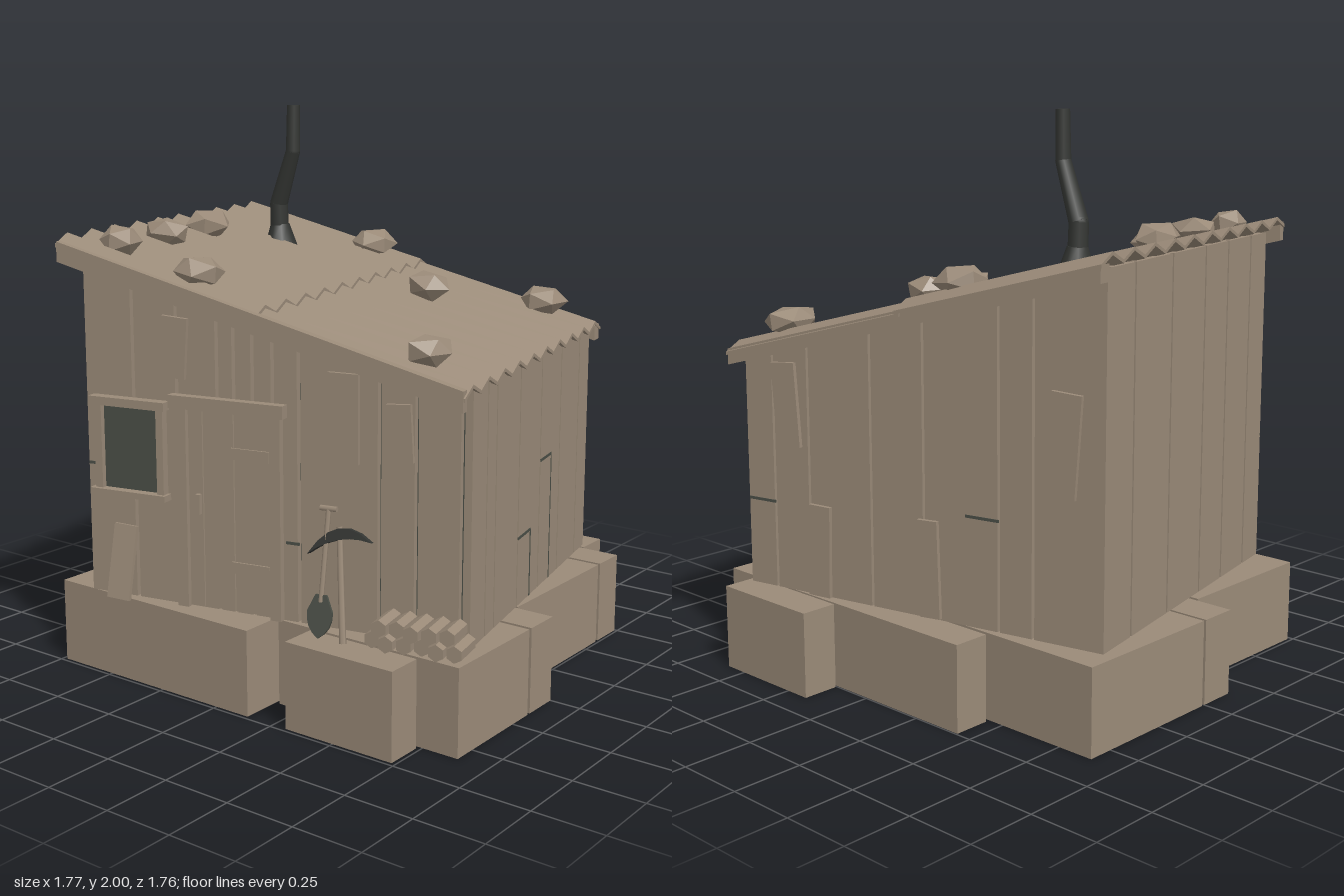
import * as THREE from 'three';

export function createModel() {
  const mat = (name, color) => {
    const m = new THREE.MeshStandardMaterial({ color });
    m.name = name;
    return m;
  };
  const wood = mat('weathered wood', 0x9a8a78);
  const dark = mat('dark glass and steel', 0x4a4e46);
  const soot = mat('sooty iron', 0x343633);
  const stone = wood.clone();
  stone.name = 'stone';
  stone.flatShading = true;

  const model = new THREE.Group();
  model.name = 'shack';
  const house = new THREE.Group(); // turned a little on its foundation
  house.name = 'house';
  const TURN = 0.21, BASE = 0.305;
  house.rotation.y = TURN;
  model.add(house);

  const roofY = x => 1.37 - 0.262 * x;
  const add = (parent, name, geo, material, x = 0, y = 0, z = 0) => {
    const m = new THREE.Mesh(geo, material);
    m.name = name;
    m.position.set(x, y, z);
    parent.add(m);
    return m;
  };
  // box given by its limits
  const block = (parent, name, material, x0, x1, y0, y1, z0, z1) =>
    add(parent, name, new THREE.BoxGeometry(x1 - x0, y1 - y0, z1 - z0), material,
      (x0 + x1) / 2, (y0 + y1) / 2, (z0 + z1) / 2);
  // board whose top and bottom may follow the roof slope
  const slopedBoard = (name, material, x0, x1, bottom, top, z0, z1) => {
    const s = new THREE.Shape([
      new THREE.Vector2(x0, bottom(x0)), new THREE.Vector2(x1, bottom(x1)),
      new THREE.Vector2(x1, top(x1)), new THREE.Vector2(x0, top(x0))]);
    return add(house, name, new THREE.ExtrudeGeometry(s, { depth: z1 - z0, bevelEnabled: false }), material, 0, 0, z0);
  };
  // round bar between two points
  const bar = (parent, name, material, a, b, r0, r1, sides = 6) => {
    const p = new THREE.Vector3(...a), q = new THREE.Vector3(...b);
    const d = q.clone().sub(p);
    const m = add(parent, name, new THREE.CylinderGeometry(r1, r0, d.length(), sides), material);
    m.position.copy(p).addScaledVector(d, 0.5);
    m.quaternion.setFromUnitVectors(new THREE.Vector3(0, 1, 0), d.normalize());
    return m;
  };

  // foundation blocks: x0, x1, z0, z1
  [[0.155, 0.59, -0.89, -0.755], [-0.44, 0.74, -0.745, -0.61], [-0.885, 0.74, -0.595, -0.012],
    [-0.885, 0.885, 0, 0.14], [-0.735, 0.14, 0.155, 0.735], [0.155, 0.885, 0.155, 0.585],
    [0.305, 0.735, 0.6, 0.735]].forEach(([x0, x1, z0, z1]) =>
    block(model, 'foundationBlock', wood, x0, x1, 0, BASE, z0, z1));

  // dark core seen through the gaps between planks
  const wallTop = x => roofY(x) - 0.02;
  const floor = () => BASE;
  slopedBoard('wallCore', dark, -0.695, 0.695, floor, x => wallTop(x) - 0.005, -0.625, 0.575);

  // front and back planks
  const planks = (cuts, gap, build) => {
    for (let i = 0; i < cuts.length - 1; i++) {
      const a = cuts[i] + (i ? gap / 2 : 0);
      const b = cuts[i + 1] - (i < cuts.length - 2 ? gap / 2 : 0);
      build(a, b);
    }
  };
  planks([-0.72, -0.528, -0.355, -0.198, -0.134, -0.063, 0.012, 0.109, 0.4, 0.53, 0.687, 0.72], 0.013,
    (a, b) => slopedBoard('frontPlank', wood, a, b, floor, wallTop, 0.575, 0.6));
  planks([-0.72, -0.46, -0.33, -0.036, 0.18, 0.446, 0.6, 0.72], 0.01,
    (a, b) => slopedBoard('backPlank', wood, a, b, floor, wallTop, -0.65, -0.625));
  // side planks
  planks([-0.625, -0.46, -0.19, 0.07, 0.26, 0.46, 0.575], 0.01,
    (a, b) => block(house, 'highSidePlank', wood, -0.72, -0.695, BASE, wallTop(-0.72), a, b));
  planks([-0.625, -0.53, -0.31, -0.086, 0.143, 0.376, 0.463, 0.575], 0.008,
    (a, b) => block(house, 'lowSidePlank', wood, 0.695, 0.72, BASE, wallTop(0.72), a, b));

  // dark joints around short planks
  const joint = (...v) => block(house, 'plankJoint', dark, ...v);
  [[0.01, 0.14, 0.55], [-0.21, -0.09, 0.775]].forEach(([z0, z1, y]) => {
    joint(0.718, 0.722, y - 0.005, y + 0.005, z0, z1);
    if (y < 0.7) joint(0.718, 0.722, BASE, y, z0 - 0.003, z0 + 0.003);
    else joint(0.718, 0.722, BASE, y, z0 - 0.002, z0 + 0.002);
  });
  joint(0.06, 0.109, 0.575, 0.585, 0.598, 0.602);
  joint(-0.72, -0.66, 0.77, 0.78, 0.598, 0.602);
  joint(0.6, 0.72, 0.615, 0.625, -0.652, -0.648);
  joint(-0.33, -0.2, 0.68, 0.69, -0.652, -0.648);

  // nailed repair boards: x, y, z, width, height, tilt
  [[-0.36, 1.215, 0.607, 0.1, 0.21, -0.07], [0.275, 1.03, 0.607, 0.11, 0.3, 0],
    [0.476, 1.0, 0.607, 0.085, 0.19, 0.06], [0.535, 0.98, -0.657, 0.1, 0.3, -0.07],
    [0.4, 0.47, -0.657, 0.09, 0.33, 0.02], [-0.06, 0.48, -0.657, 0.08, 0.34, -0.03],
    [-0.575, 0.97, -0.657, 0.11, 0.34, 0.07]].forEach(([x, y, z, w, h, t]) => {
    add(house, 'repairBoard', new THREE.BoxGeometry(w, h, 0.016), wood, x, y, z).rotation.z = t;
  });
  const loose = add(house, 'leaningBoard', new THREE.BoxGeometry(0.09, 0.265, 0.015), wood, -0.57, 0.437, 0.635);
  loose.rotation.set(-0.18, 0, -0.04);

  // window
  block(house, 'windowPane', dark, -0.65, -0.42, 0.695, 1.0, 0.601, 0.61);
  block(house, 'windowJamb', wood, -0.675, -0.646, 0.695, 0.995, 0.6, 0.63);
  block(house, 'windowJamb', wood, -0.425, -0.398, 0.695, 0.995, 0.6, 0.63);
  block(house, 'windowLintel', wood, -0.69, -0.387, 0.995, 1.025, 0.6, 0.64);
  block(house, 'windowSill', wood, -0.69, -0.387, 0.675, 0.697, 0.6, 0.645);

  // door with frame, hinges and handle
  block(house, 'doorPost', wood, -0.352, -0.31, BASE, 1.01, 0.6, 0.625);
  block(house, 'doorPost', wood, 0.01, 0.05, BASE, 1.01, 0.6, 0.625);
  block(house, 'doorLintel', wood, -0.372, 0.066, 1.01, 1.055, 0.6, 0.635);
  planks([-0.306, -0.25, -0.13, 0.006], 0.004,
    (a, b) => block(house, 'doorPlank', wood, a, b, BASE + 0.008, 1.006, 0.6, 0.613));
  [0.47, 0.87].forEach(y => block(house, 'doorBatten', wood, -0.14, 0.006, y - 0.02, y + 0.02, 0.613, 0.62));
  block(house, 'doorHandle', wood, -0.275, -0.257, 0.645, 0.715, 0.613, 0.63);

  // corrugated roof: two overlapping zigzag sheets
  const sheet = (x0, x1, lift) => {
    const N = 20, zHalf = 0.73, top = [], under = [];
    for (let i = 0; i <= N; i++) {
      const u = -zHalf + (2 * zHalf * i) / N, v = (i % 2 ? 0.016 : -0.016) + lift;
      top.push(new THREE.Vector2(u, v));
      under.unshift(new THREE.Vector2(u, v - 0.012));
    }
    const g = new THREE.ExtrudeGeometry(new THREE.Shape([...top, ...under]), { depth: x1 - x0, bevelEnabled: false });
    g.rotateY(Math.PI / 2).translate(x0, 0, 0);
    const p = g.attributes.position;
    for (let i = 0; i < p.count; i++) p.setY(i, p.getY(i) + roofY(p.getX(i)));
    g.computeVertexNormals();
    add(house, 'roofSheet', g, stone);
  };
  sheet(-0.74, 0.02, 0.012);
  sheet(0, 0.74, 0);
  slopedBoard('frontFascia', wood, -0.735, 0.735, x => roofY(x) - 0.063, x => roofY(x) + 0.006, 0.7, 0.732);
  slopedBoard('backFascia', wood, -0.735, 0.735, x => roofY(x) - 0.063, x => roofY(x) - 0.006, -0.725, -0.67);

  // stones weighing the roof down: x, z, half sizes
  let seed = 7;
  const rnd = () => (seed = (seed * 16807) % 2147483647) / 2147483647;
  [[0.41, -0.7, 0.09, 0.105], [-0.28, -0.55, 0.09, 0.1], [0.18, -0.26, 0.085, 0.08], [-0.565, 0.11, 0.075, 0.105],
    [-0.5, 0.405, 0.1, 0.07], [-0.44, 0.69, 0.07, 0.08], [-0.117, 0.65, 0.09, 0.095], [0.66, 0.43, 0.08, 0.1]]
    .forEach(([x, z, rx, rz], n) => {
      const g = new THREE.IcosahedronGeometry(1, 0), p = g.attributes.position, bumps = {};
      g.rotateY(n * 1.3);
      for (let i = 0; i < p.count; i++) {
        const key = [p.getX(i), p.getY(i), p.getZ(i)].map(v => Math.round(v * 50)).join();
        const k = (bumps[key] ??= 0.88 + rnd() * 0.25);
        p.setXYZ(i, p.getX(i) * k * rx, p.getY(i) * k * 0.055, p.getZ(i) * k * rz);
      }
      g.computeVertexNormals();
      const lx = x * Math.cos(TURN) - z * Math.sin(TURN);
      add(model, 'roofStone', g, stone, x, roofY(lx) + 0.045, z).rotation.z = -0.1;
    });

  // crooked stovepipe with flared collar
  const pipe = [[-0.445, 1.47, -0.17], [-0.445, 1.63, -0.165], [-0.368, 1.83, -0.157], [-0.365, 2.0, -0.157]];
  const radii = [0.036, 0.034, 0.027, 0.024];
  for (let i = 0; i < 3; i++) {
    bar(model, 'stovepipe', soot, pipe[i], pipe[i + 1], radii[i], radii[i + 1], 8);
    if (i) add(model, 'pipeElbow', new THREE.SphereGeometry(radii[i], 8, 6), soot, ...pipe[i]);
  }
  bar(model, 'pipeCollar', soot, [-0.44, 1.46, -0.17], [-0.445, 1.55, -0.17], 0.065, 0.036, 8);

  // spade leaning on the wall
  const spade = new THREE.Group();
  spade.name = 'spade';
  spade.position.set(0.23, BASE, 0.71);
  spade.rotation.x = -0.2;
  house.add(spade);
  const blade = new THREE.Shape();
  blade.moveTo(0, 0);
  blade.quadraticCurveTo(0.05, 0.03, 0.045, 0.09);
  blade.lineTo(0.02, 0.145);
  blade.lineTo(-0.02, 0.145);
  blade.lineTo(-0.045, 0.09);
  blade.quadraticCurveTo(-0.05, 0.03, 0, 0);
  add(spade, 'spadeBlade', new THREE.ExtrudeGeometry(blade, { depth: 0.01, bevelEnabled: false, curveSegments: 4 }), dark, 0, 0, -0.005);
  bar(spade, 'spadeShaft', wood, [0, 0.12, 0], [0, 0.43, 0], 0.009, 0.009);
  bar(spade, 'spadeGrip', wood, [-0.03, 0.43, 0], [0.03, 0.43, 0], 0.01, 0.01);

  // pickaxe leaning on the wall
  const pick = new THREE.Group();
  pick.name = 'pickaxe';
  pick.position.set(0.325, BASE, 0.72);
  pick.rotation.set(-0.24, 0, 0.14);
  house.add(pick);
  bar(pick, 'pickShaft', wood, [0, 0, 0], [0, 0.38, 0], 0.012, 0.01);
  const head = new THREE.Shape();
  head.moveTo(-0.115, 0.295);
  head.quadraticCurveTo(0, 0.44, 0.115, 0.325);
  head.quadraticCurveTo(0, 0.365, -0.115, 0.295);
  add(pick, 'pickHead', new THREE.ExtrudeGeometry(head, { depth: 0.024, bevelEnabled: false, curveSegments: 6 }), soot, 0, 0, -0.012);

  // firewood stack
  for (let row = 0; row < 2; row++) {
    for (let i = 0; i < 6 - row; i++) {
      const z1 = 0.715 + 0.012 * ((i * 2 + row) % 3);
      bar(house, 'firewoodLog', stone, [0.425 + (i + row / 2) * 0.058, 0.333 + row * 0.046, 0.6],
        [0.425 + (i + row / 2) * 0.058, 0.333 + row * 0.046, z1], 0.029, 0.029);
    }
  }
  return model;
}
